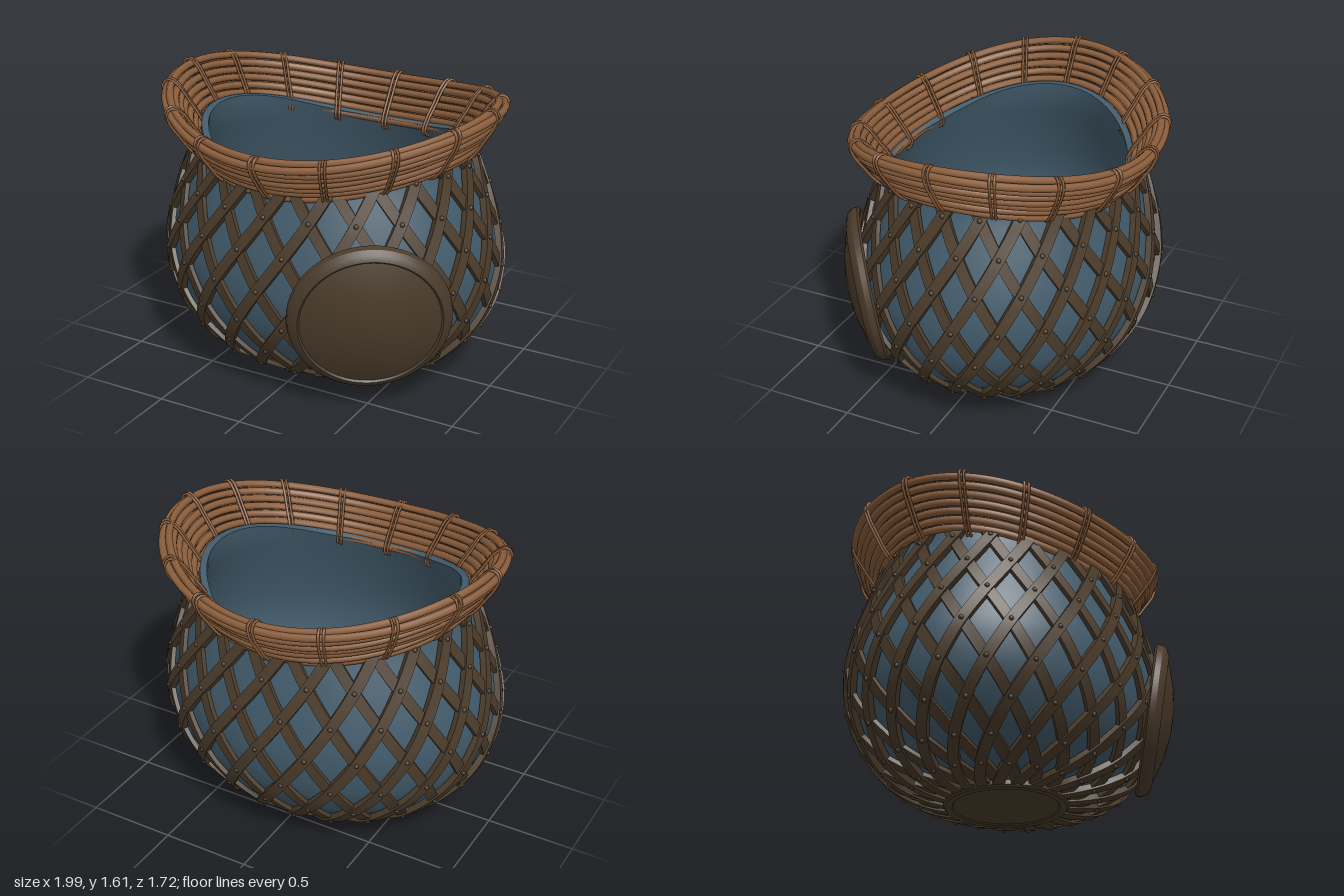
import * as THREE from 'three';
import { toCreasedNormals } from 'three/addons/utils/BufferGeometryUtils.js';

const DEPTH = 0.84;      // front-to-back squash of the pot
const CZ = -0.02;        // pot centre in z
const STRANDS = 22;      // lattice strands in each direction
const TWIST = (2 * Math.PI / STRANDS) / 0.4; // turn per unit of arc length

const profile = new THREE.SplineCurve([
  [0.33, 0.02], [0.5, 0.045], [0.66, 0.1], [0.8, 0.2], [0.935, 0.4], [0.98, 0.62],
  [0.96, 0.8], [0.9, 1.0], [0.825, 1.2], [0.79, 1.3], [0.785, 1.42],
].map(([r, y]) => new THREE.Vector2(r, y)));
const LENGTH = profile.getLength();

// Point on the pot at profile position u and angle a (0 = front), pushed out by off
function surface(u, a, off) {
  const p = profile.getPointAt(u), t = profile.getTangentAt(u);
  const r = p.x + off * t.y;
  return new THREE.Vector3(r * Math.sin(a), p.y - off * t.x, r * DEPTH * Math.cos(a) + CZ);
}

// Profile position at height y
function uAtY(y) {
  let lo = 0, hi = 1;
  for (let i = 0; i < 18; i++) {
    const m = (lo + hi) / 2;
    if (profile.getPointAt(m).y < y) lo = m; else hi = m;
  }
  return lo;
}

// Saddle-shaped lower edge of the rim
const rimBase = (a) => 1.18 + 0.14 * Math.sin(a) ** 2 - 0.008 * Math.sin(a);
const rimRise = (a) => 0.215 - 0.015 * Math.cos(a) + 0.02 * Math.sin(a) ** 2;

// Point of the flared rim: t runs bottom to top, n outwards through its thickness
function rimPoint(a, t, n) {
  const off = 0.15 * t + 0.82 * n;
  return new THREE.Vector3(
    (0.785 + off) * Math.sin(a),
    rimBase(a) + rimRise(a) * t - 0.55 * n,
    (0.66 + off) * Math.cos(a) - 0.015);
}

// Skin joining rings of points, each ring closed on itself
function loft(rings, crease) {
  const n = rings[0].length, index = [];
  for (let i = 0; i < rings.length - 1; i++) {
    for (let j = 0; j < n; j++) {
      const k = (j + 1) % n;
      const a = i * n + j, b = i * n + k, c = a + n, d = b + n;
      index.push(a, b, d, a, d, c);
    }
  }
  const geo = new THREE.BufferGeometry().setFromPoints(rings.flat());
  geo.setIndex(index);
  return toCreasedNormals(geo, crease);
}

// Pot: underside, outer wall, lip, inner wall and floor in one skin
function potGeometry() {
  const N = 72, V = 24, rings = [];
  const angles = Array.from({ length: N }, (_, i) => i / N * Math.PI * 2);
  const tops = angles.map((a) => uAtY(rimBase(a) + 0.05));
  const ring = (v, off) => angles.map((a, i) => surface(v * tops[i], a, off));
  const centre = (y) => angles.map(() => new THREE.Vector3(0, y, CZ));
  rings.push(centre(0.045));
  for (let v = 0; v <= V; v++) rings.push(ring(v / V, -0.03));
  for (let v = V; v >= 0; v--) rings.push(ring(v / V, -0.07));
  rings.push(centre(0.09));
  return loft(rings, 0.9);
}

// One flat strand climbing the pot in direction dir
function strandGeometry(start, dir) {
  const s0 = uAtY(0.675) * LENGTH;
  const angle = (u) => start + dir * TWIST * (u * LENGTH - s0);
  const lift = dir > 0 ? 0.012 : 0.002, rings = [], steps = 56;
  for (let i = 0; i <= steps; i++) {
    const u = 0.002 + 0.994 * i / steps, a = angle(u);
    const p = surface(u, a, 0);
    if (p.y > rimBase(a) + 0.04) break;
    const e = 0.002;
    const tan = surface(u + e, angle(u + e), 0).sub(surface(u - e, angle(u - e), 0)).normalize();
    const along = surface(u + e, a, 0).sub(surface(u - e, a, 0));
    const around = surface(u, a + e, 0).sub(surface(u, a - e, 0));
    const nor = around.cross(along).normalize();
    if (nor.x * Math.sin(a) + nor.z * Math.cos(a) < 0) nor.negate();
    const side = nor.clone().cross(tan).normalize();
    rings.push([[-1, -0.022], [1, -0.022], [1, lift], [-1, lift]].map(([w, h]) =>
      p.clone().addScaledVector(side, w * 0.03).addScaledVector(nor, h)));
  }
  return loft(rings, 0.6);
}

// Domed round plate with a raised border
function plateGeometry() {
  const dome = (r) => 0.11 * (1 - (r / 0.43) ** 2);
  const pts = [
    [0, -0.045], [0.2, -0.045], [0.34, -0.045], [0.42, -0.04], [0.435, -0.02], [0.43, 0.01],
    [0.41, 0.026], [0.38, 0.026], [0.37, 0.012], [0.3, 0.012], [0.2, 0.012], [0.1, 0.012], [0, 0.012],
  ].map(([r, h]) => new THREE.Vector2(r, dome(r) + h));
  return toCreasedNormals(new THREE.LatheGeometry(pts, 56), 0.5);
}

export function createModel() {
  const model = new THREE.Group();
  const material = (name, color) => {
    const m = new THREE.MeshStandardMaterial({ color });
    m.name = name;
    return m;
  };
  const blue = material('slate blue', 0x425b6b);
  const dark = material('dark brown', 0x4b3c2b);
  const wicker = material('wicker brown', 0x8b5e3c);
  const add = (name, geo, mat, parent = model) => {
    const mesh = new THREE.Mesh(geo, mat);
    mesh.name = name;
    parent.add(mesh);
    return mesh;
  };
  const group = (name) => {
    const g = new THREE.Group();
    g.name = name;
    model.add(g);
    return g;
  };

  add('pot', potGeometry(), blue);

  // Foot with a shallow recess underneath
  const foot = [[0, 0.008], [0.285, 0.008], [0.292, 0], [0.33, 0], [0.34, 0.012], [0.335, 0.04], [0, 0.04]]
    .map(([r, y]) => new THREE.Vector2(r, y));
  add('foot', toCreasedNormals(new THREE.LatheGeometry(foot, 48), 0.5), dark).position.z = CZ;

  // Diamond lattice and the small pegs at its crossings
  const lattice = group('lattice');
  for (let i = 0; i < STRANDS; i++) {
    for (const dir of [-1, 1]) {
      add('latticeStrand', strandGeometry(i / STRANDS * Math.PI * 2, dir), dark, lattice);
    }
  }
  const plateCentre = new THREE.Vector3(0.555, 0.56, 0.59);
  const peg = new THREE.SphereGeometry(0.014, 8, 6);
  const half = Math.PI / STRANDS;
  for (let row = -8; row <= 6; row++) {
    const u = uAtY(0.675) + row * half / TWIST / LENGTH;
    if (u < 0.12 || u > 0.97) continue;
    for (let i = 0; i < STRANDS; i++) {
      const a = (2 * i + Math.abs(row % 2)) * half;
      const p = surface(u, a, 0.01);
      if (p.y > rimBase(a) - 0.02 || p.distanceTo(plateCentre) < 0.45) continue;
      add('latticePeg', peg, dark, lattice).position.copy(p);
    }
  }

  // Round plate on the front left
  const plate = add('roundPlate', plateGeometry(), dark);
  plate.position.copy(plateCentre);
  plate.quaternion.setFromUnitVectors(new THREE.Vector3(0, 1, 0),
    new THREE.Vector3(0.53, -0.16, 0.83).normalize());

  // Woven rim: an outer and an inner layer of canes
  const rim = group('rim');
  const CANES = 7;
  for (let i = 0; i < CANES; i++) {
    for (const layer of [-0.02, 0.018]) {
      const pts = Array.from({ length: 40 }, (_, k) => {
        const a = k / 40 * Math.PI * 2;
        const wobble = 0.004 * Math.sin(3 * a + i * 2.1 + layer * 90);
        return rimPoint(a, i / (CANES - 1), layer + wobble);
      });
      const curve = new THREE.CatmullRomCurve3(pts, true);
      add('rimCane', new THREE.TubeGeometry(curve, 100, 0.021, 7, true), wicker, rim);
    }
  }

  // Paired ties wrapped around the rim
  const loop = [[-0.12, -0.03], [-0.14, 0.02], [0.1, 0.046], [0.5, 0.05], [0.9, 0.046],
    [1.11, 0.02], [1.11, -0.02], [0.9, -0.046], [0.5, -0.047], [0.1, -0.046]];
  for (let i = 0; i < 16; i++) {
    for (const shift of [-0.014, 0.014]) {
      const a = i / 16 * Math.PI * 2 + shift;
      const curve = new THREE.CatmullRomCurve3(loop.map(([t, n]) => rimPoint(a, t, n)), true);
      add('rimTie', new THREE.TubeGeometry(curve, 32, 0.008, 5, true), wicker, rim);
    }
  }
  return model;
}
